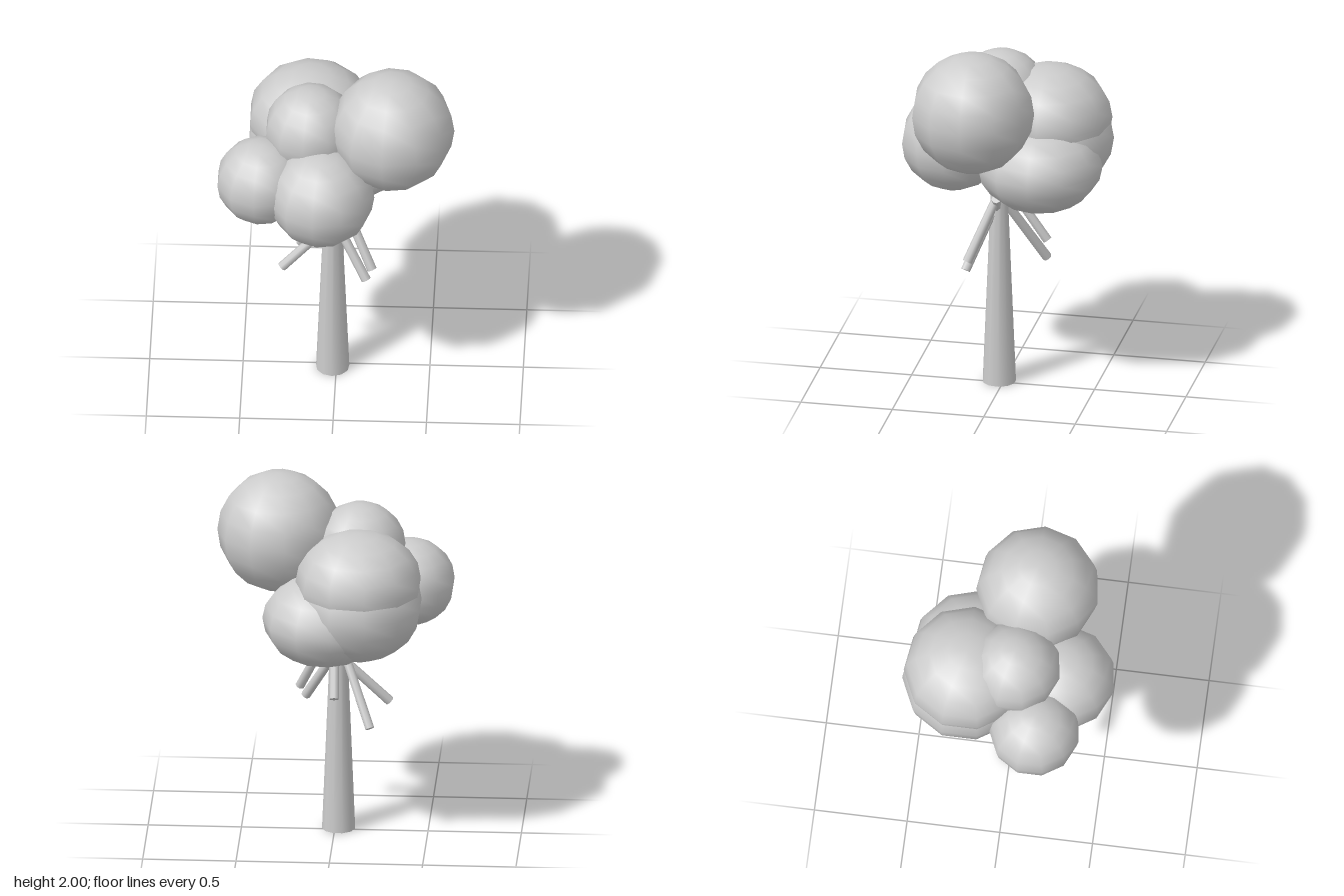
import * as THREE from 'three';

export function createModel() {
  const tree = new THREE.Group();
  tree.name = 'tree';
  const grey = new THREE.MeshStandardMaterial({ color: 0xcccccc });
  grey.name = 'plain grey';

  const add = (name, geometry) => {
    const mesh = new THREE.Mesh(geometry, grey);
    mesh.name = name;
    tree.add(mesh);
    return mesh;
  };

  // Tapered trunk, its top hidden in the foliage
  add('trunk', new THREE.CylinderGeometry(0.037, 0.09, 1.3, 11)).position.set(-0.02, 0.65, 0.025);

  // Straight drooping branches: inner end, then free tip
  const branches = [
    ['rightBranch', [0.03, 1.12, 0.01], [0.195, 0.76, 0.155]],
    ['frontBranch', [-0.06, 1.1, 0.01], [0.165, 0.70, 0.17]],
    ['leftBranch', [0.085, 1.09, 0.02], [-0.29, 0.71, 0.085]],
    ['backLeftBranch', [-0.01, 1.12, 0.05], [-0.2, 0.66, -0.2]],
    ['backBranch', [0, 1.16, -0.02], [-0.01, 0.84, -0.24]],
  ];
  const up = new THREE.Vector3(0, 1, 0);
  for (const [name, from, to] of branches) {
    const a = new THREE.Vector3(...from);
    const b = new THREE.Vector3(...to);
    const dir = b.clone().sub(a);
    const branch = add(name, new THREE.CylinderGeometry(0.026, 0.024, dir.length(), 8));
    branch.position.copy(a).add(b).multiplyScalar(0.5);
    branch.quaternion.setFromUnitVectors(up, dir.normalize());
  }

  // Foliage: smooth low-poly balls, some squashed (centre, flat radius, half height)
  const clumps = [
    ['topFoliage', [0.304, 1.67, 0.103], 0.331, 0.33],
    ['leftFoliage', [-0.395, 1.365, 0.175], 0.243, 0.237],
    ['frontFoliage', [-0.07, 1.35, 0.285], 0.283, 0.272],
    ['middleFoliage', [-0.135, 1.61, 0.035], 0.248, 0.25],
    ['backUpperFoliage', [-0.142, 1.505, -0.222], 0.34, 0.285],
    ['backLowerFoliage', [-0.142, 1.385, -0.225], 0.345, 0.31],
    ['backRightFoliage', [0.04, 1.288, -0.21], 0.336, 0.248],
  ];
  for (const [name, centre, radius, height] of clumps) {
    const clump = add(name, new THREE.SphereGeometry(1, 11, 10));
    clump.position.set(...centre);
    clump.rotation.y = Math.PI;
    clump.scale.set(radius, height, radius);
  }
  return tree;
}
